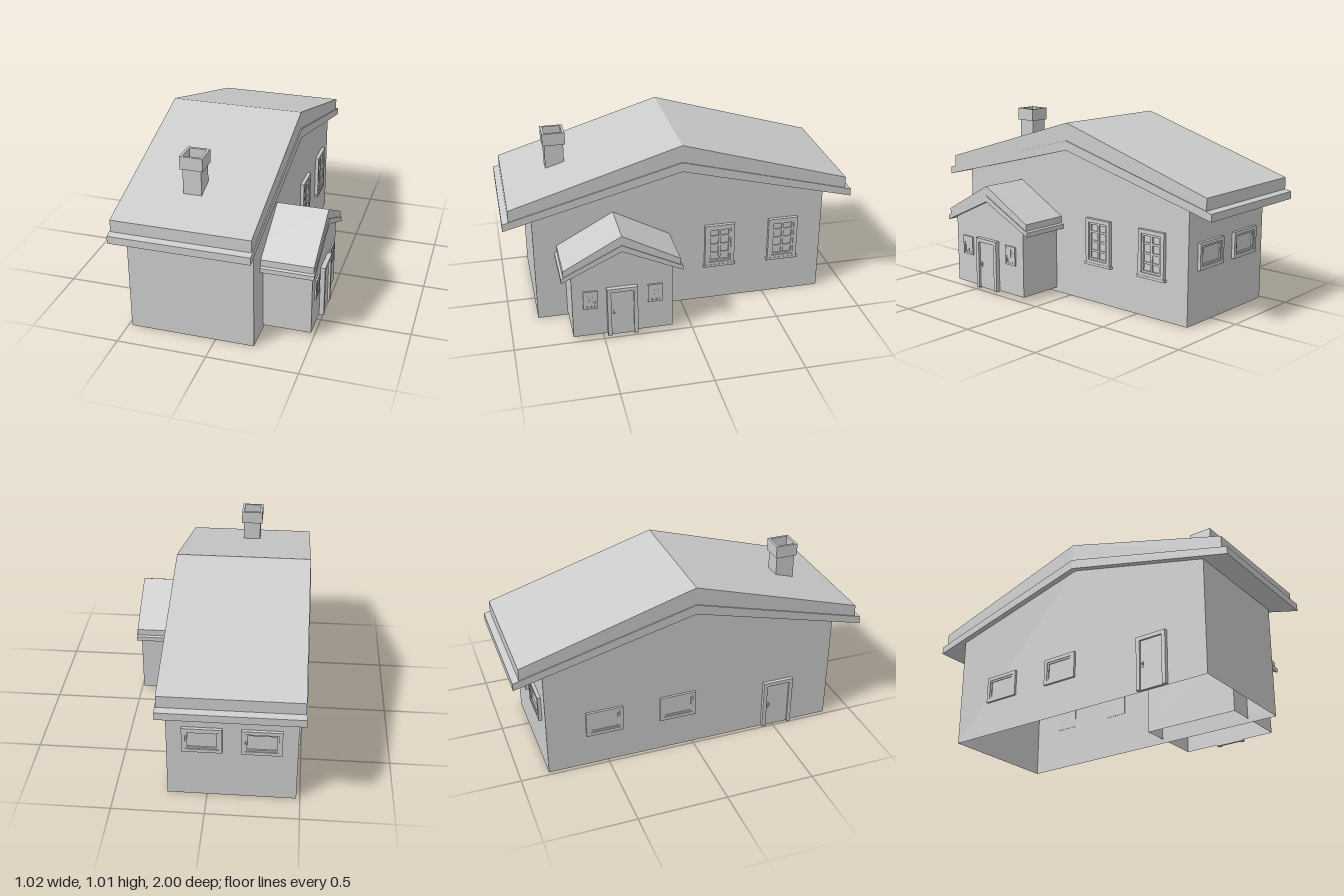
import * as THREE from 'three';

const grey = new THREE.MeshStandardMaterial({ color: 0xcccccc, flatShading: true });
const greyOpen = new THREE.MeshStandardMaterial({ color: 0xcccccc, flatShading: true, side: THREE.DoubleSide });

function add(parent, name, geometry, x = 0, y = 0, z = 0, material = grey) {
  const mesh = new THREE.Mesh(geometry, material);
  mesh.name = name;
  mesh.position.set(x, y, z);
  parent.add(mesh);
  return mesh;
}

const box = (w, h, d) => new THREE.BoxGeometry(w, h, d);
const polygon = (points) => new THREE.Shape(points.map(([x, y]) => new THREE.Vector2(x, y)));

// Rectangular ring in XY, from z = 0 to z = depth
function ring(w, h, border, depth) {
  const rect = (a, b) => [[-a, -b], [a, -b], [a, b], [-a, b]];
  const shape = polygon(rect(w / 2, h / 2));
  shape.holes.push(polygon(rect(w / 2 - border, h / 2 - border).reverse()));
  return new THREE.ExtrudeGeometry(shape, { depth, bevelEnabled: false });
}

// Gabled walls, open underneath; the ridge runs along x
function gabledWalls(name, { x0, x1, half, zMid, base, eave, apex }) {
  const group = new THREE.Group();
  group.name = name;
  const gable = polygon([[-half, base], [half, base], [half, eave], [0, apex], [-half, eave]]);
  for (const [x, turn] of [[x1, 1], [x0, -1]]) {
    const end = add(group, 'gableWall', new THREE.ShapeGeometry(gable), x, 0, zMid, greyOpen);
    end.rotation.y = turn * Math.PI / 2;
  }
  for (const side of [1, -1]) {
    const wall = add(group, 'sideWall', new THREE.PlaneGeometry(x1 - x0, eave - base),
      (x0 + x1) / 2, (base + eave) / 2, zMid + side * half, greyOpen);
    if (side < 0) wall.rotation.y = Math.PI;
  }
  return group;
}

// Chevron-shaped roof layer extruded along x
function roofLayer(parent, name, { x0, x1, half, zMid, top, topEdge, under, underEdge }) {
  const shape = polygon([[-half, underEdge], [0, under], [half, underEdge],
    [half, topEdge], [0, top], [-half, topEdge]]);
  const geometry = new THREE.ExtrudeGeometry(shape, { depth: x1 - x0, bevelEnabled: false });
  geometry.rotateY(Math.PI / 2);
  add(parent, name, geometry, x0, 0, zMid);
}

// Window facing +z, with optional glazing bars
function windowUnit(name, w, h, depth, border, cols = 1, rows = 1) {
  const group = new THREE.Group();
  group.name = name;
  add(group, 'windowFrame', ring(w, h, border, depth));
  add(group, 'windowSash', ring(w - 2 * border, h - 2 * border, border * 0.5, depth * 0.7));
  add(group, 'windowPane', box(w - 2 * border, h - 2 * border, 0.006), 0, 0, 0.001);
  const iw = w - 2 * border, ih = h - 2 * border, bar = border * 0.55;
  for (let i = 1; i < cols; i++)
    add(group, 'verticalBar', box(bar, ih, depth * 0.6), -iw / 2 + (iw * i) / cols, 0, depth * 0.3);
  for (let i = 1; i < rows; i++)
    add(group, 'horizontalBar', box(iw, bar, depth * 0.5), 0, -ih / 2 + (ih * i) / rows, depth * 0.25);
  return group;
}

// Door facing +z, standing on y = 0
function doorUnit(name, w, h, depth) {
  const group = new THREE.Group();
  group.name = name;
  const t = 0.022, a = w / 2, b = a - t;
  const jamb = polygon([[-a, 0], [-b, 0], [-b, h - t], [b, h - t], [b, 0], [a, 0], [a, h], [-a, h]]);
  add(group, 'doorFrame', new THREE.ExtrudeGeometry(jamb, { depth, bevelEnabled: false }));
  add(group, 'doorLeaf', box(w - 2 * t, h - t, depth * 0.5), 0, (h - t) / 2, depth * 0.25);
  add(group, 'doorHandlePlate', box(0.01, 0.03, 0.004), -b + 0.014, h * 0.47, depth * 0.55);
  add(group, 'doorKnob', new THREE.SphereGeometry(0.006, 8, 6), -b + 0.014, h * 0.48, depth * 0.75);
  return group;
}

export function createModel() {
  const model = new THREE.Group();
  model.name = 'house';
  const place = (unit, x, y, z, turn) => {
    unit.position.set(x, y, z);
    unit.rotation.y = turn;
    model.add(unit);
  };
  const RIGHT = Math.PI / 2, LEFT = -Math.PI / 2, BACK = Math.PI;

  // Main house
  model.add(gabledWalls('mainWalls',
    { x0: -0.48, x1: 0.215, half: 0.84, zMid: 0, base: 0, eave: 0.645, apex: 0.87 }));
  const roof = new THREE.Group();
  roof.name = 'mainRoof';
  model.add(roof);
  roofLayer(roof, 'roofSlab', { x0: -0.507, x1: 0.242, half: 0.965, zMid: 0,
    top: 1.01, topEdge: 0.718, under: 0.9, underEdge: 0.64 });
  roofLayer(roof, 'roofTrim', { x0: -0.513, x1: 0.248, half: 1, zMid: 0,
    top: 0.91, topEdge: 0.642, under: 0.855, underEdge: 0.6 });

  // Porch, reaching a little way into the house
  model.add(gabledWalls('porchWalls',
    { x0: 0.07, x1: 0.485, half: 0.28, zMid: 0.39, base: 0.025, eave: 0.42, apex: 0.56 }));
  const porchRoof = new THREE.Group();
  porchRoof.name = 'porchRoof';
  model.add(porchRoof);
  roofLayer(porchRoof, 'porchRoofSlab', { x0: 0.1, x1: 0.501, half: 0.322, zMid: 0.39,
    top: 0.636, topEdge: 0.46, under: 0.575, underEdge: 0.41 });
  roofLayer(porchRoof, 'porchRoofTrim', { x0: 0.1, x1: 0.506, half: 0.335, zMid: 0.39,
    top: 0.582, topEdge: 0.416, under: 0.545, underEdge: 0.39 });

  // Chimney with a hollow cap
  const chimney = new THREE.Group();
  chimney.name = 'chimney';
  chimney.position.set(-0.148, 0, 0.665);
  model.add(chimney);
  const ringUp = (w, d, border, h) => ring(w, d, border, h).rotateX(-Math.PI / 2);
  add(chimney, 'chimneyStack', box(0.1, 0.15, 0.108), 0, 0.86, 0);
  add(chimney, 'chimneyCap', ringUp(0.124, 0.128, 0.014, 0.072), 0, 0.934, 0);

  // Doors
  place(doorUnit('porchDoor', 0.17, 0.3, 0.026), 0.485, 0.02, 0.395, RIGHT);
  place(doorUnit('sideDoor', 0.18, 0.297, 0.021), -0.48, 0.005, 0.52, LEFT);

  // Windows
  for (const z of [-0.226, -0.605]) {
    place(windowUnit('barredWindow', 0.175, 0.26, 0.02, 0.022, 2, 4), 0.215, 0.358, z, RIGHT);
    add(model, 'windowSill', box(0.022, 0.014, 0.187), 0.226, 0.227, z);
  }
  for (const z of [0.57, 0.21])
    place(windowUnit('porchWindow', 0.08, 0.11, 0.009, 0.011, 2, 3), 0.485, 0.255, z, RIGHT);
  for (const z of [-0.515, -0.09])
    place(windowUnit('sideWindow', 0.21, 0.15, 0.013, 0.02), -0.48, 0.27, z, LEFT);
  for (const x of [0.025, -0.29])
    place(windowUnit('backWindow', 0.215, 0.15, 0.018, 0.02), x, 0.37, -0.84, BACK);

  return model;
}
